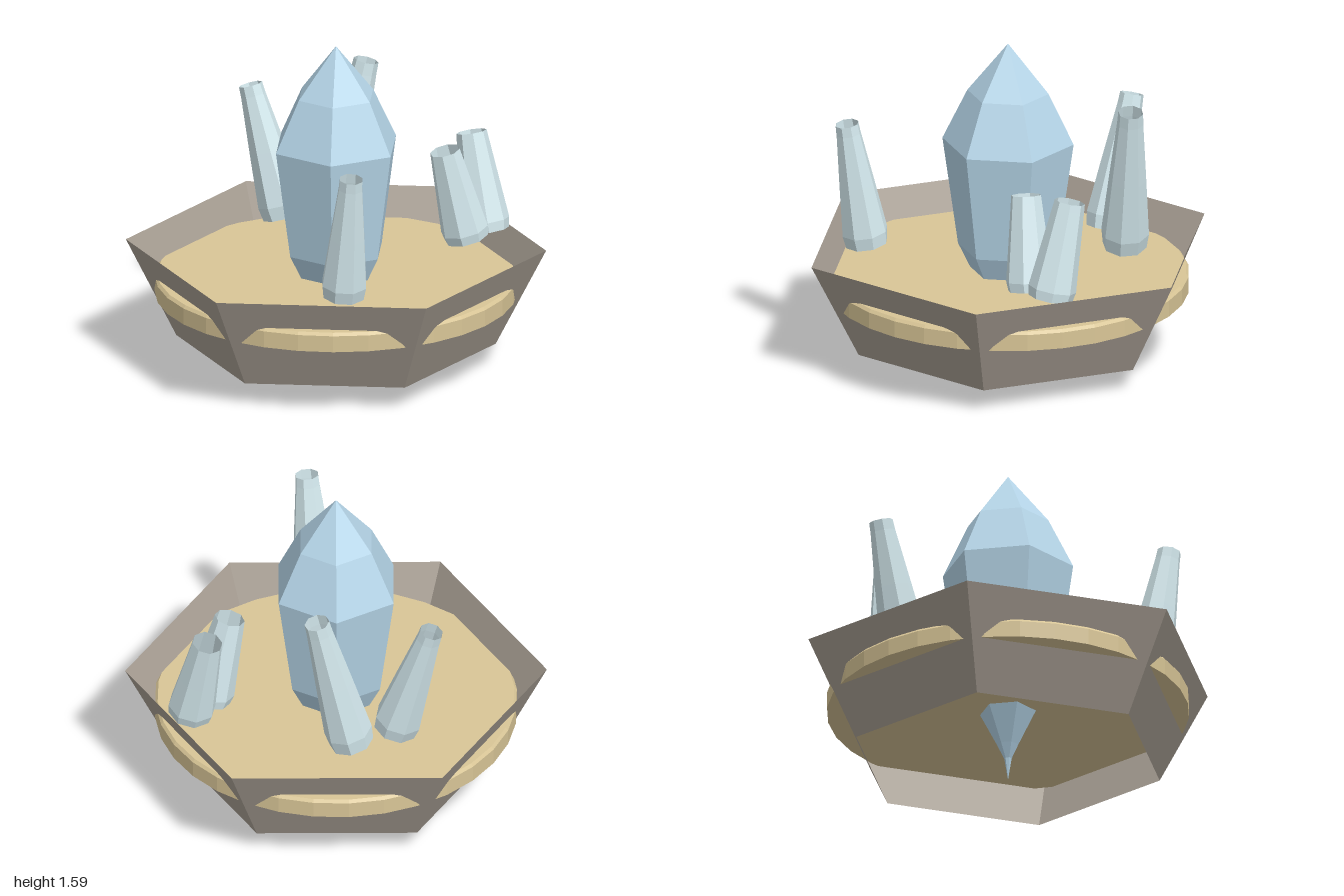
import * as THREE from 'three';

const mat = (color, side = THREE.FrontSide) =>
  new THREE.MeshStandardMaterial({ color, side, flatShading: true });

// Turned shape from [radius, y] pairs, listed from bottom to top
function lathe(profile, sides, phase = 0) {
  return new THREE.LatheGeometry(profile.map(([r, y]) => new THREE.Vector2(r, y)), sides, phase);
}

function add(group, name, geometry, material) {
  const mesh = new THREE.Mesh(geometry, material);
  mesh.name = name;
  group.add(mesh);
  return mesh;
}

export function createModel() {
  const model = new THREE.Group();
  model.name = 'crystalPlanter';

  // Thin flared hexagonal pot, open at top and bottom
  const pot = add(model, 'pot', new THREE.CylinderGeometry(1, 0.76, 0.475, 6, 1, true),
    mat(0xa89f94, THREE.DoubleSide));
  pot.position.y = 0.3475;

  // Round slab of soil that pokes through the flat walls
  add(model, 'soil', lathe([[0, 0.35], [0.86, 0.35], [0.86, 0.43], [0.848, 0.444], [0, 0.444]], 32),
    mat(0xd9c697));

  // Large hexagonal crystal with a needle tip under the pot
  add(model, 'mainCrystal', lathe([
    [0, 0], [0.018, 0.11], [0.05, 0.18], [0.135, 0.35], [0.24, 0.56],
    [0.315, 1.09], [0.195, 1.34], [0, 1.585],
  ], 6, Math.PI / 6), mat(0xb5d5e8));

  // Small leaning crystals: hollow tapered tubes between a base and a tip
  const smallCrystals = [
    { base: [-0.46, 0.57, -0.24], tip: [-0.652, 1.195, -0.23], r: 0.115, top: 0.057 },
    { base: [-0.335, 0.57, -0.44], tip: [-0.22, 1.305, -0.57], r: 0.115, top: 0.06 },
    { base: [0.41, 0.57, 0.53], tip: [0.492, 1.185, 0.585], r: 0.112, top: 0.057 },
    { base: [0.445, 0.57, -0.615], tip: [0.335, 1.035, -0.645], r: 0.115, top: 0.073 },
    { base: [0.425, 0.57, -0.475], tip: [0.355, 1.015, -0.395], r: 0.115, top: 0.073 },
  ];
  const pale = mat(0xd3e8ed, THREE.DoubleSide);
  const up = new THREE.Vector3(0, 1, 0);
  smallCrystals.forEach(({ base, tip, r, top }, i) => {
    const start = new THREE.Vector3(...base);
    const axis = new THREE.Vector3(...tip).sub(start);
    const h = axis.length();
    const tube = add(model, 'smallCrystal' + (i + 1), lathe([
      [r * 0.92, 0], [r, h * 0.1], [r * 0.55 + top * 0.45, h * 0.5], [top * 1.05, h * 0.92], [top, h],
    ], 8, i * 0.5), pale);
    tube.position.copy(start);
    tube.quaternion.setFromUnitVectors(up, axis.normalize());
  });

  return model;
}
